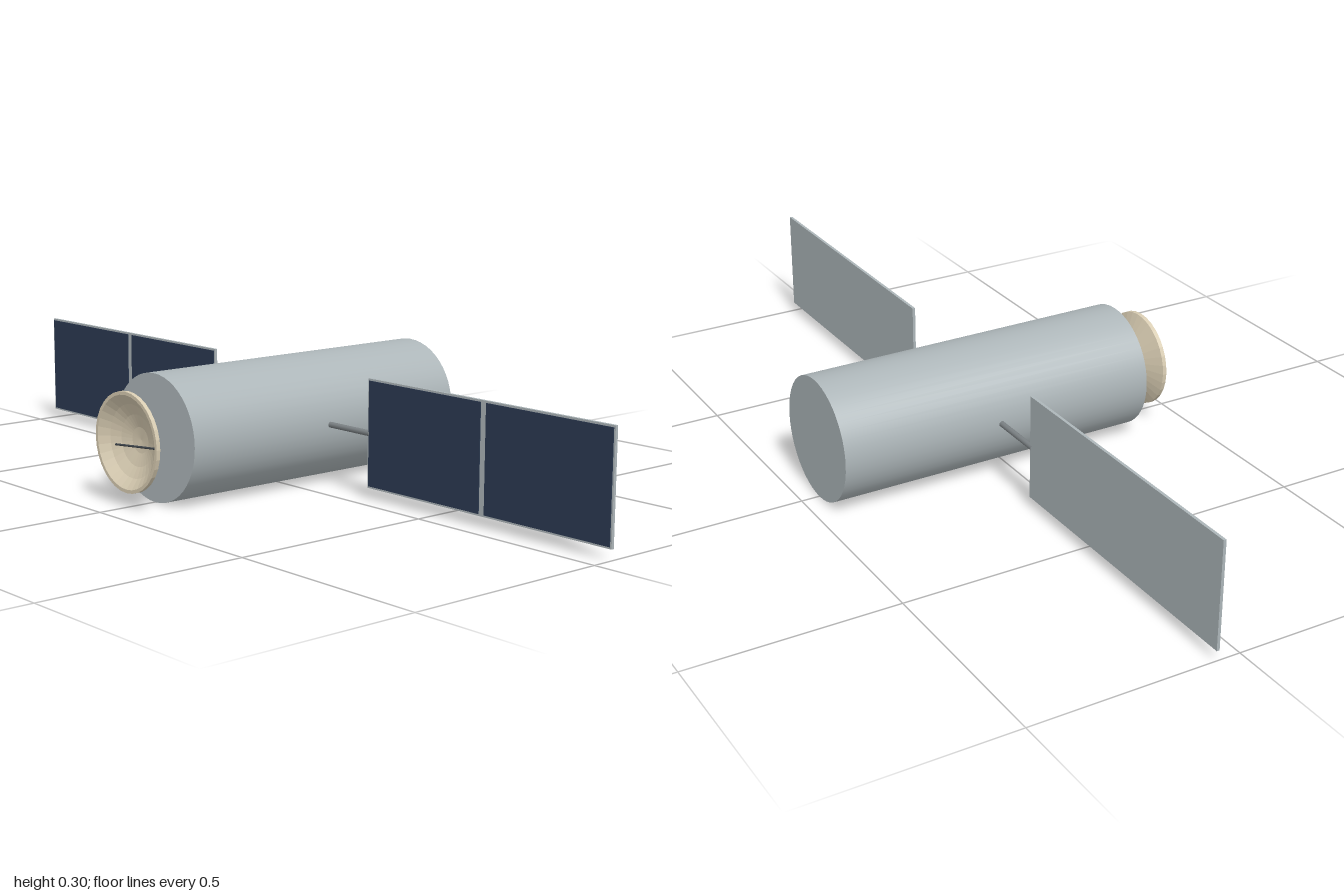
import * as THREE from 'three';

const mat = (name, color, flatShading = false) => {
  const m = new THREE.MeshStandardMaterial({ color, flatShading });
  m.name = name;
  return m;
};

export function createModel() {
  const group = new THREE.Group();
  const hull = mat('hull grey', 0xadb6b9);
  const cell = mat('solar blue', 0x2b3a52);
  const cream = mat('dish cream', 0xd8ccb2, true);
  const metal = mat('boom grey', 0x7b8184);
  const dark = mat('feed dark grey', 0x3c4248);
  const axisY = 0.15, panelZ = -0.055;

  const add = (parent, name, geometry, material, x = 0, y = 0, z = 0) => {
    const mesh = new THREE.Mesh(geometry, material);
    mesh.name = name;
    mesh.position.set(x, y, z);
    parent.add(mesh);
    return mesh;
  };

  // Main body, lying along z
  add(group, 'body', new THREE.CylinderGeometry(0.149, 0.149, 0.802, 48).rotateX(Math.PI / 2),
    hull, 0, axisY, -0.054);

  // Dish: straight cone behind, shallow bowl in front
  const profile = [[0, 0.367], [0.116, 0.417], [0.116, 0.427], [0.108, 0.427],
    [0.085, 0.408], [0.06, 0.395], [0.03, 0.386], [0, 0.383]]
    .map(([r, z]) => new THREE.Vector2(r, z));
  add(group, 'dish', new THREE.LatheGeometry(profile, 32).rotateX(Math.PI / 2), cream, 0, axisY, 0);

  // Single feed strut from the dish rim to its focus
  const strut = new THREE.LineCurve3(new THREE.Vector3(0.1, axisY, 0.416), new THREE.Vector3(0, axisY, 0.454));
  add(group, 'feedStrut', new THREE.TubeGeometry(strut, 1, 0.0025, 8), dark);

  // Solar wings
  for (const side of [1, -1]) {
    const wing = new THREE.Group();
    wing.name = side > 0 ? 'leftWing' : 'rightWing';
    add(wing, 'boom', new THREE.CylinderGeometry(0.007, 0.007, 0.15, 12).rotateZ(Math.PI / 2),
      metal, side * 0.21, axisY + 0.002, panelZ);
    add(wing, 'panelFrame', new THREE.BoxGeometry(0.72, 0.255, 0.007), hull,
      side * 0.64, axisY + 0.002, panelZ);
    for (const x of [0.458, 0.822]) {
      add(wing, 'solarCells', new THREE.BoxGeometry(0.348, 0.246, 0.002), cell,
        side * x, axisY + 0.002, panelZ + 0.0042);
    }
    group.add(wing);
  }
  return group;
}
